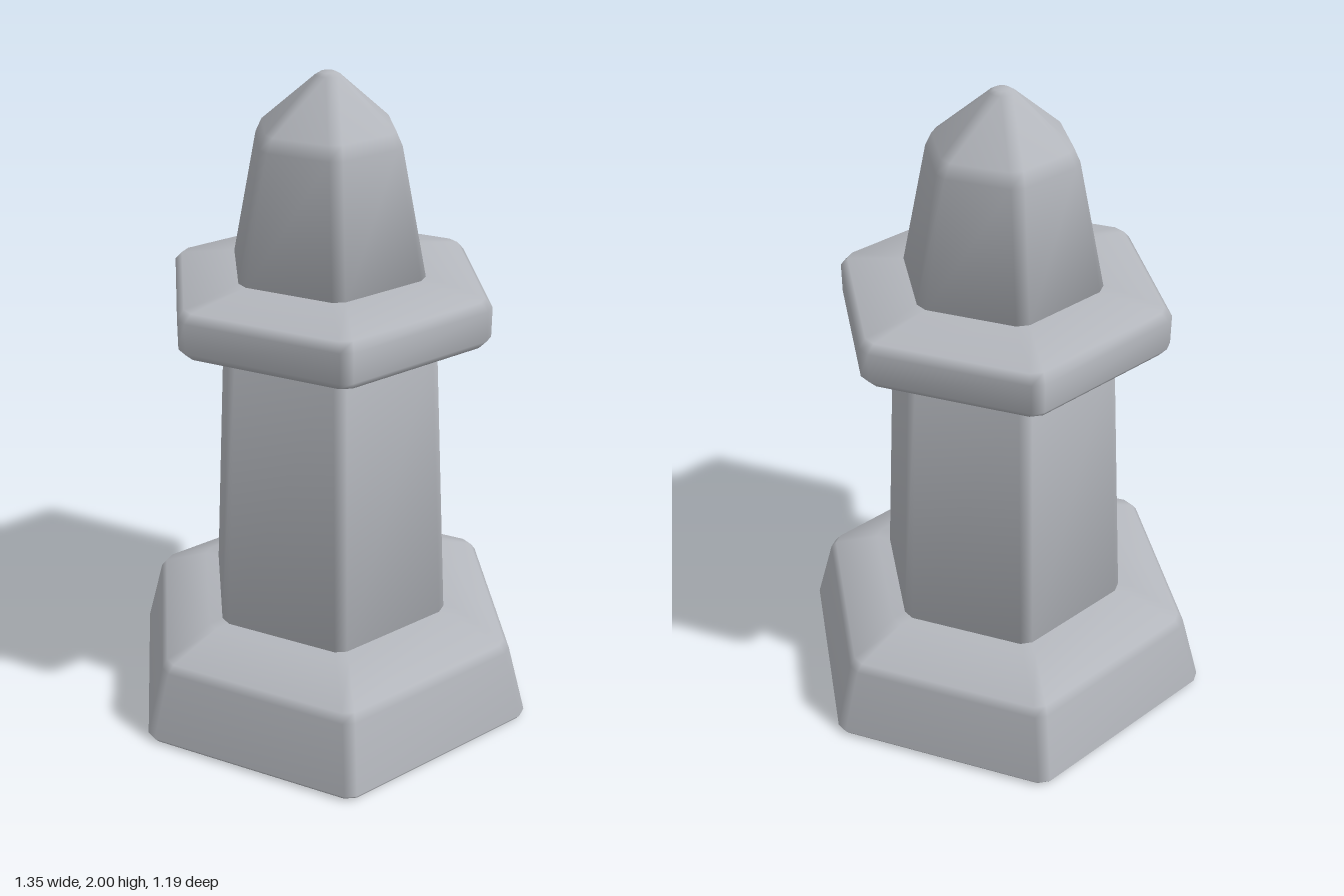
import * as THREE from 'three';

const CORNER = 0.022; // length cut from each side at a hexagon corner

// One hexagonal ring with narrowly cut corners, pointing along x
function hexRing(apothem, y) {
  const points = [];
  const R = apothem / Math.cos(Math.PI / 6);
  const t = Math.min(CORNER / R, 0.3);
  const corner = k => [R * Math.cos(k * Math.PI / 3), R * Math.sin(k * Math.PI / 3)];
  for (let k = 0; k < 6; k++) {
    const c = corner(k);
    for (const n of [corner(k - 1), corner(k + 1)]) {
      points.push(c[0] + (n[0] - c[0]) * t, y, c[1] + (n[1] - c[1]) * t);
    }
  }
  return points;
}

// Closed, smooth-shaded solid through hexagonal rings given as [apothem, y]
function hexSolid(name, profile, material) {
  const N = 12, positions = [], index = [];
  for (const [a, y] of profile) positions.push(...hexRing(a, y));
  const last = (profile.length - 1) * N;
  const bottom = profile.length * N, top = bottom + 1;
  positions.push(0, profile[0][1], 0, 0, profile[profile.length - 1][1], 0);
  for (let j = 0; j < N; j++) {
    const n = (j + 1) % N;
    for (let r = 0; r < last; r += N) {
      index.push(r + j, r + N + j, r + n, r + n, r + N + j, r + N + n);
    }
    index.push(bottom, j, n, top, last + n, last + j);
  }
  const geometry = new THREE.BufferGeometry();
  geometry.setAttribute('position', new THREE.Float32BufferAttribute(positions, 3));
  geometry.setIndex(index);
  geometry.computeVertexNormals();
  const mesh = new THREE.Mesh(geometry, material);
  mesh.name = name;
  return mesh;
}

export function createModel() {
  const group = new THREE.Group();
  group.name = 'hexagonalTower';
  const stone = new THREE.MeshStandardMaterial({ color: 0xb4b7bd });
  stone.name = 'pale grey';

  group.add(
    // Wide sloping foot
    hexSolid('base', [[0.585, 0], [0.595, 0.015], [0.542, 0.235], [0.525, 0.26], [0.39, 0.33]], stone),
    // Tapered shaft
    hexSolid('shaft', [[0.35, 0.32], [0.304, 1.24]], stone),
    // Overhanging collar with bevelled rims
    hexSolid('collar', [[0.3, 1.23], [0.425, 1.26], [0.445, 1.285], [0.445, 1.375], [0.425, 1.4], [0.27, 1.435]], stone),
    // Tapered head and pointed cap
    hexSolid('head', [[0.27, 1.425], [0.199, 1.81], [0.182, 1.85], [0.035, 1.992], [0.022, 2]], stone)
  );
  return group;
}
